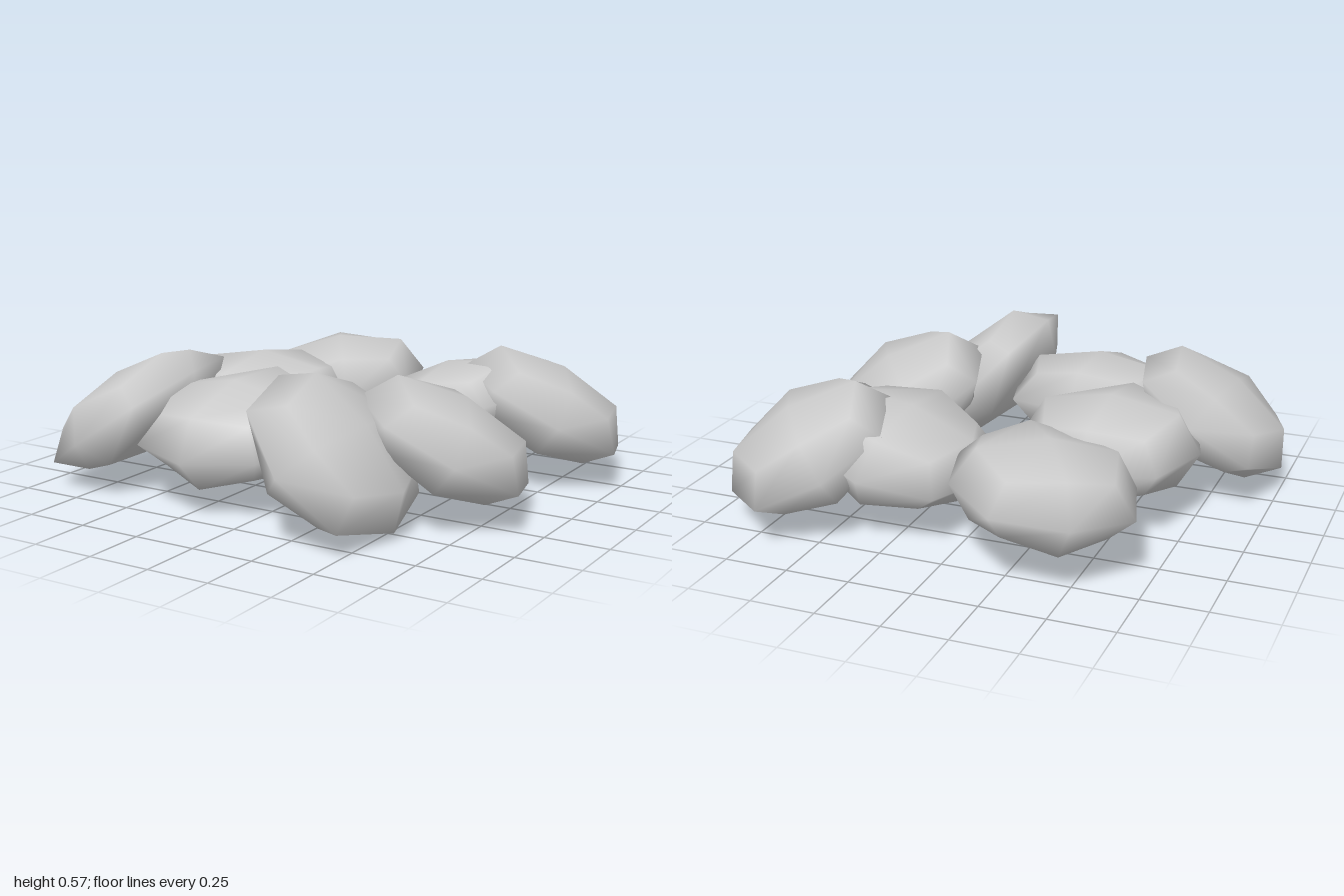
import * as THREE from 'three';
import { mergeVertices } from 'three/addons/utils/BufferGeometryUtils.js';

// Low-poly rounded pebble: a cube split once and relaxed into a ball (radius 1 on the axes)
function pebbleGeometry() {
  const g = new THREE.BoxGeometry(2, 2, 2, 2, 2, 2);
  g.deleteAttribute('uv');
  g.deleteAttribute('normal');
  const p = g.attributes.position;
  const pull = [0, 1, 0.75, 0.556]; // face centre, edge middle, corner
  for (let i = 0; i < p.count; i++) {
    const v = new THREE.Vector3().fromBufferAttribute(p, i).round();
    v.multiplyScalar(pull[Math.abs(v.x) + Math.abs(v.y) + Math.abs(v.z)]);
    p.setXYZ(i, v.x, v.y, v.z);
  }
  const merged = mergeVertices(g);
  merged.computeVertexNormals();
  return merged;
}

// Each pebble: centre, turn in degrees (pitch, yaw, roll), radii
const pebbles = [
  { name: 'backLeftPebble', at: [-0.325, 0.29, -0.56], turn: [0, 32.5, 6], size: [0.35, 0.185, 0.41] },
  { name: 'middleLeftPebble', at: [-0.415, 0.29, -0.06], turn: [0, 0, 0], size: [0.36, 0.195, 0.385] },
  { name: 'frontLeftPebble', at: [-0.705, 0.292, 0.4], turn: [9, 0, 33], size: [0.355, 0.175, 0.4] },
  { name: 'frontMiddlePebble', at: [-0.205, 0.29, 0.415], turn: [9, 0, 0], size: [0.36, 0.19, 0.39] },
  { name: 'frontRightPebble', at: [0.315, 0.29, 0.555], turn: [0, 0, -47], size: [0.355, 0.178, 0.395] },
  { name: 'middleRightPebble', at: [0.56, 0.29, 0.185], turn: [0, 32.5, -28], size: [0.36, 0.182, 0.41] },
  { name: 'backRightPebble', at: [0.645, 0.29, -0.51], turn: [0, 32.5, -28], size: [0.36, 0.182, 0.41] },
  { name: 'backMiddlePebble', at: [0.325, 0.285, -0.38], turn: [0, 0, 15], size: [0.36, 0.18, 0.4] },
];

export function createModel() {
  const group = new THREE.Group();
  group.name = 'pebbleCluster';
  const geometry = pebbleGeometry();
  const material = new THREE.MeshStandardMaterial({ color: 0xcccccc });

  for (const { name, at, turn, size } of pebbles) {
    const mesh = new THREE.Mesh(geometry, material);
    mesh.name = name;
    mesh.position.set(...at);
    mesh.rotation.set(...turn.map(THREE.MathUtils.degToRad), 'YXZ');
    mesh.scale.set(...size);
    group.add(mesh);
  }
  return group;
}
